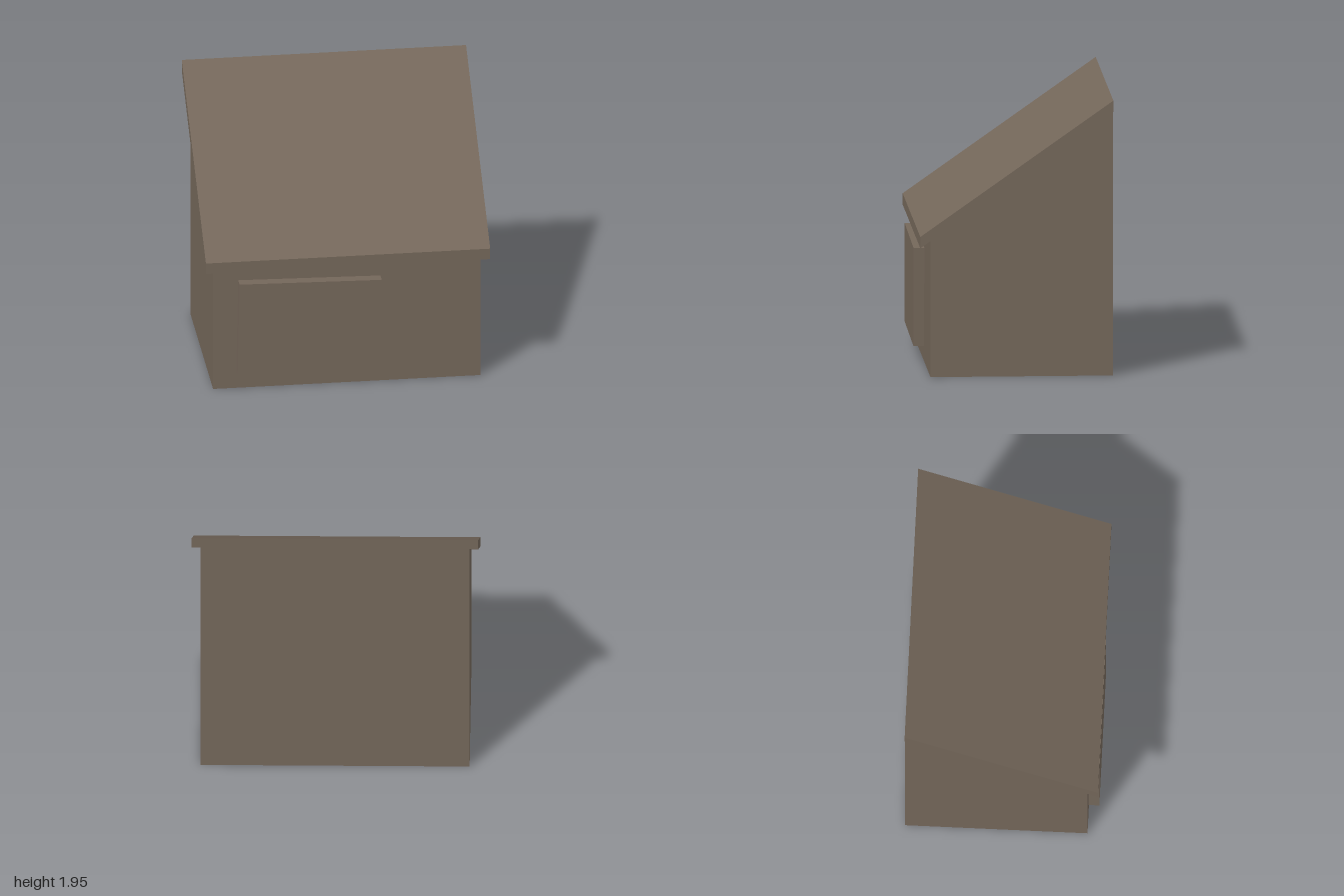
import * as THREE from 'three';

const HALF_W = 0.94, FRONT = 0.6, BACK = -0.675, EAVE = 0.675;
// height of the roof underside at depth z
const under = (z) => 0.92 + (EAVE - z) * (0.95 / 1.35);

// shape drawn in the (z, y) plane
const profile = (points) => new THREE.Shape(points.map(([z, y]) => new THREE.Vector2(z, y)));

export function createModel() {
  const model = new THREE.Group();
  model.name = 'shed';
  const timber = new THREE.MeshStandardMaterial({ color: 0x74675a, side: THREE.DoubleSide });
  timber.name = 'weathered timber';

  const add = (name, geometry, x = 0, y = 0, z = 0) => {
    const mesh = new THREE.Mesh(geometry, timber);
    mesh.name = name;
    mesh.position.set(x, y, z);
    model.add(mesh);
    return mesh;
  };

  // thin walls, open underneath
  const frontH = under(FRONT), backH = under(BACK);
  add('frontWall', new THREE.PlaneGeometry(2 * HALF_W, frontH), 0, frontH / 2, FRONT);
  add('backWall', new THREE.PlaneGeometry(2 * HALF_W, backH).rotateY(Math.PI), 0, backH / 2, BACK);

  const side = [[BACK, 0], [FRONT, 0], [FRONT, frontH], [BACK, backH]];
  // left wall faces +x, right wall faces -x
  add('leftWall', new THREE.ShapeGeometry(profile(side.map(([z, y]) => [-z, y]))).rotateY(Math.PI / 2), HALF_W);
  add('rightWall', new THREE.ShapeGeometry(profile(side)).rotateY(-Math.PI / 2), -HALF_W);

  // sloping slab roof with vertical ends
  const roof = profile([[EAVE, 0.92], [EAVE, 1.0], [BACK, 1.95], [BACK, 1.87]]);
  add('roof', new THREE.ExtrudeGeometry(roof, { depth: 2, bevelEnabled: false }).rotateY(-Math.PI / 2), 1);

  // slightly crooked hatch set through the front wall
  const hatch = add('hatch', new THREE.BoxGeometry(1.0, 0.695, 0.15), -0.27, 0.467, FRONT);
  hatch.rotation.z = -0.02;

  return model;
}
